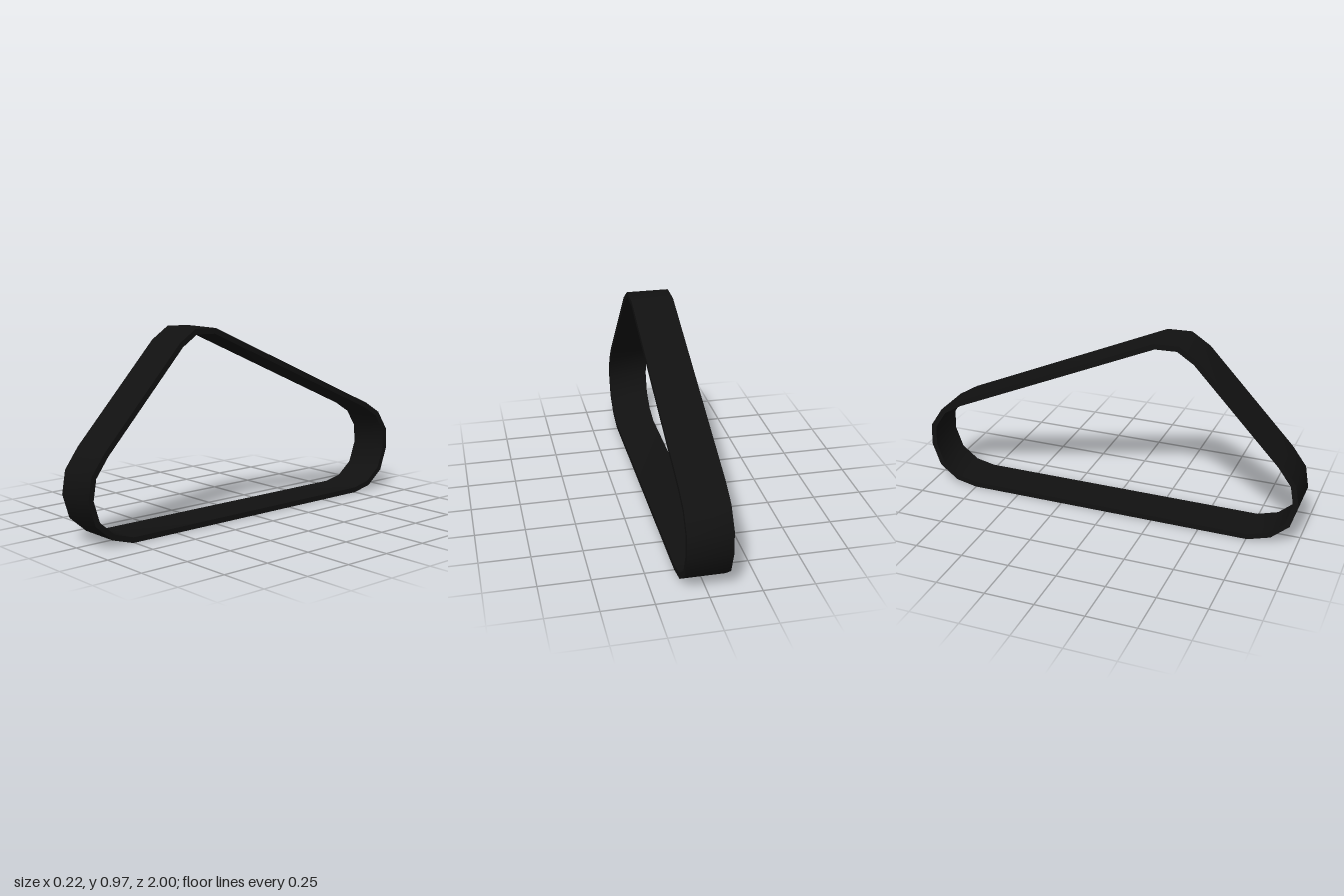
import * as THREE from 'three';
import { toCreasedNormals } from 'three/addons/utils/BufferGeometryUtils.js';

const WIDTH = 0.216;
const HALF_THICKNESS = 0.0135;

// Centre line of the belt as (z, y), counter-clockwise
const PATH = [
  [0.755, 0.0145], [-0.749, 0.0145], [-0.856, 0.037], [-0.946, 0.107],
  [-0.987, 0.22], [-0.983, 0.326], [-0.92, 0.422], [-0.823, 0.481],
  [0.251, 0.958], [0.37, 0.962], [0.46, 0.904], [0.898, 0.438],
  [0.968, 0.342], [0.986, 0.235], [0.952, 0.123], [0.866, 0.048],
].map(([z, y]) => new THREE.Vector2(z, y)).reverse();

// Mitred offset of the closed path; positive distances go outward
function offsetPath(points, distance) {
  const n = points.length;
  const normal = (a, b) => {
    const d = b.clone().sub(a).normalize();
    return new THREE.Vector2(d.y, -d.x);
  };
  return points.map((p, i) => {
    const n1 = normal(points[(i + n - 1) % n], p);
    const n2 = normal(p, points[(i + 1) % n]);
    const mitre = n1.clone().add(n2).normalize();
    return p.clone().addScaledVector(mitre, distance / mitre.dot(n1));
  });
}

export function createModel() {
  const group = new THREE.Group();
  group.name = 'beltLoop';

  // Thin closed band: outer outline with the inner outline as a hole
  const shape = new THREE.Shape(offsetPath(PATH, HALF_THICKNESS));
  shape.holes.push(new THREE.Path(offsetPath(PATH, -HALF_THICKNESS)));
  let geometry = new THREE.ExtrudeGeometry(shape, { depth: WIDTH, bevelEnabled: false });
  geometry.translate(0, 0, -WIDTH / 2);
  geometry.rotateY(-Math.PI / 2);

  // Smooth around the bends, sharp at the rims
  geometry = toCreasedNormals(geometry, 1.0);

  const belt = new THREE.Mesh(geometry, new THREE.MeshStandardMaterial({ color: 0x111111 }));
  belt.name = 'belt';
  group.add(belt);
  return group;
}
